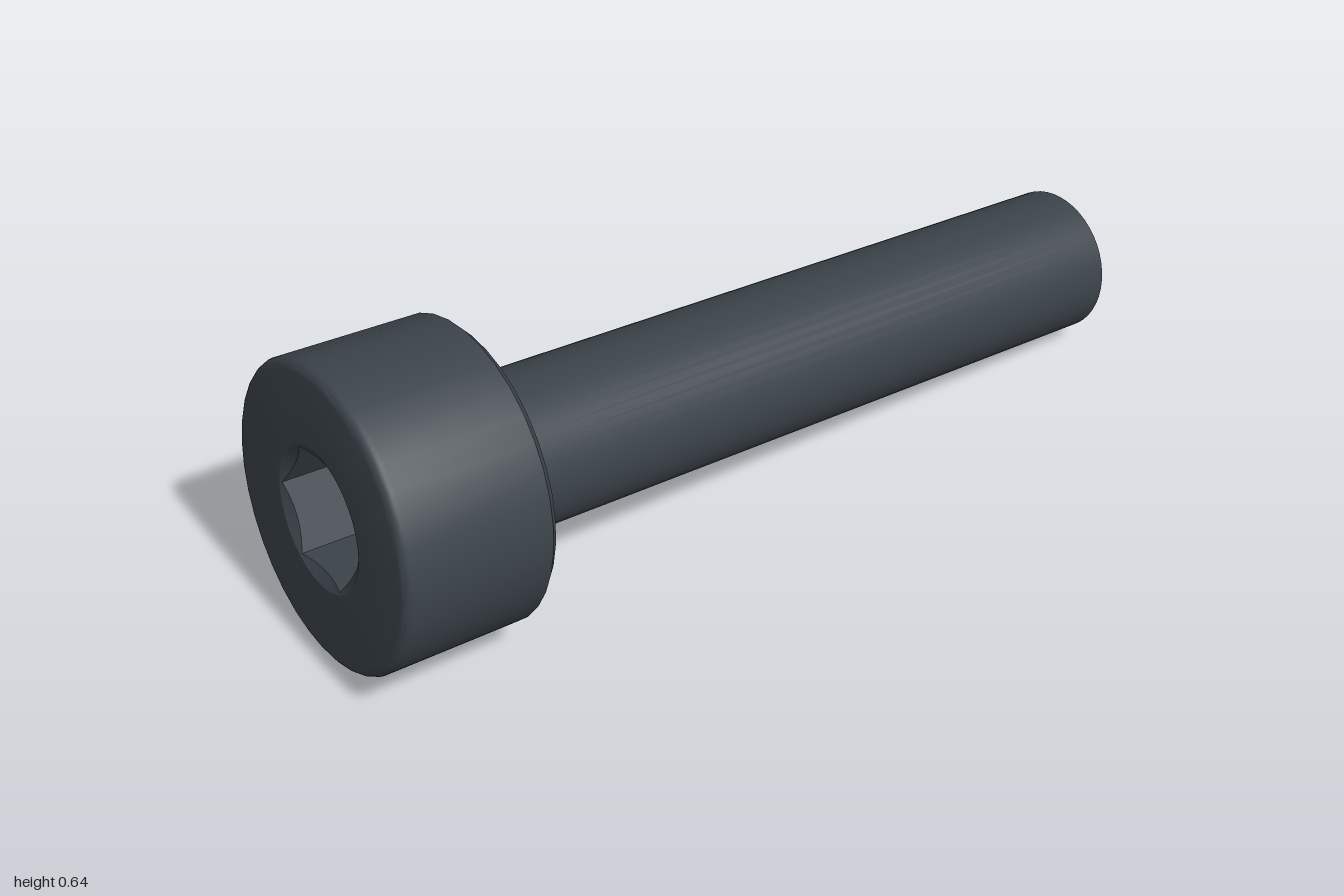
import * as THREE from 'three';
import { toCreasedNormals } from 'three/addons/utils/BufferGeometryUtils.js';

const HEAD_R = 0.31, HEAD_H = 0.326, SHANK_R = 0.162, LENGTH = 1.954;
const SOCKET_RIM = 0.146, HEX_R = 0.141, SOCKET_DEPTH = 0.163;

// Points of a quarter-round, from angle a to angle b
function arc(cx, cy, r, a, b, steps = 4) {
  return Array.from({ length: steps + 1 }, (_, i) => {
    const t = a + (b - a) * i / steps;
    return [cx + r * Math.cos(t), cy + r * Math.sin(t)];
  });
}

function lathe(points, segments) {
  return new THREE.LatheGeometry(points.map(([x, y]) => new THREE.Vector2(x, y)), segments);
}

// Hexagon radius at an angle, with a corner at angle 0
function hexRadius(angle) {
  const s = Math.PI / 3;
  const a = ((angle % s) + s) % s - s / 2;
  return HEX_R * Math.cos(s / 2) / Math.cos(a);
}

// Lathe whose inner loops are pulled into a hexagon, meeting a conical rim
function socketGeometry() {
  const wallTop = 0.01;
  const geo = lathe([[0, SOCKET_DEPTH], [HEX_R, SOCKET_DEPTH], [HEX_R, wallTop], [SOCKET_RIM, 0]], 36);
  const p = geo.attributes.position;
  for (let i = 0; i < p.count; i++) {
    const x = p.getX(i), y = p.getY(i), z = p.getZ(i);
    const r = Math.hypot(x, z);
    if (r < 0.01 || y < 0.001) continue;
    const h = hexRadius(Math.atan2(x, z));
    const newY = y < SOCKET_DEPTH - 0.001 ? (SOCKET_RIM - h) * 0.58 : y;
    p.setXYZ(i, x * h / r, newY, z * h / r);
  }
  return geo;
}

export function createModel() {
  const steel = new THREE.MeshStandardMaterial({ color: 0x3b434a });
  steel.name = 'dark steel';
  const screw = new THREE.Group();
  screw.name = 'socketHeadScrew';

  const add = (name, geo) => {
    const mesh = new THREE.Mesh(toCreasedNormals(geo, 0.5), steel);
    mesh.name = name;
    screw.add(mesh);
  };

  // Head: rounded outer rim, chamfered underside, fillet into the shank
  const rim = 0.02, chamfer = 0.016, fillet = 0.016;
  add('head', lathe([
    [SOCKET_RIM, 0],
    ...arc(HEAD_R - rim, rim, rim, -Math.PI / 2, 0),
    [HEAD_R, HEAD_H - chamfer],
    [HEAD_R - chamfer, HEAD_H],
    ...arc(SHANK_R + fillet, HEAD_H + fillet, fillet, -Math.PI / 2, -Math.PI),
  ], 36));

  add('hexSocket', socketGeometry());

  // Shank with chamfered tip
  add('shank', lathe([
    [SHANK_R, HEAD_H + fillet],
    [SHANK_R, LENGTH - 0.031],
    [0.13, LENGTH],
    [0, LENGTH],
  ], 48));

  // Lay the screw down: local y runs from head to tip
  const axis = new THREE.Vector3(0.974, -0.09, 0.2065).normalize();
  const side = new THREE.Vector3(0, 1, 0).cross(axis).negate().normalize();
  const up = new THREE.Vector3().crossVectors(axis, side);
  screw.quaternion.setFromRotationMatrix(new THREE.Matrix4().makeBasis(up, axis, side));
  screw.position.set(-0.932, 0.336, -0.1255);

  const model = new THREE.Group();
  model.name = 'screwModel';
  model.add(screw);
  return model;
}
